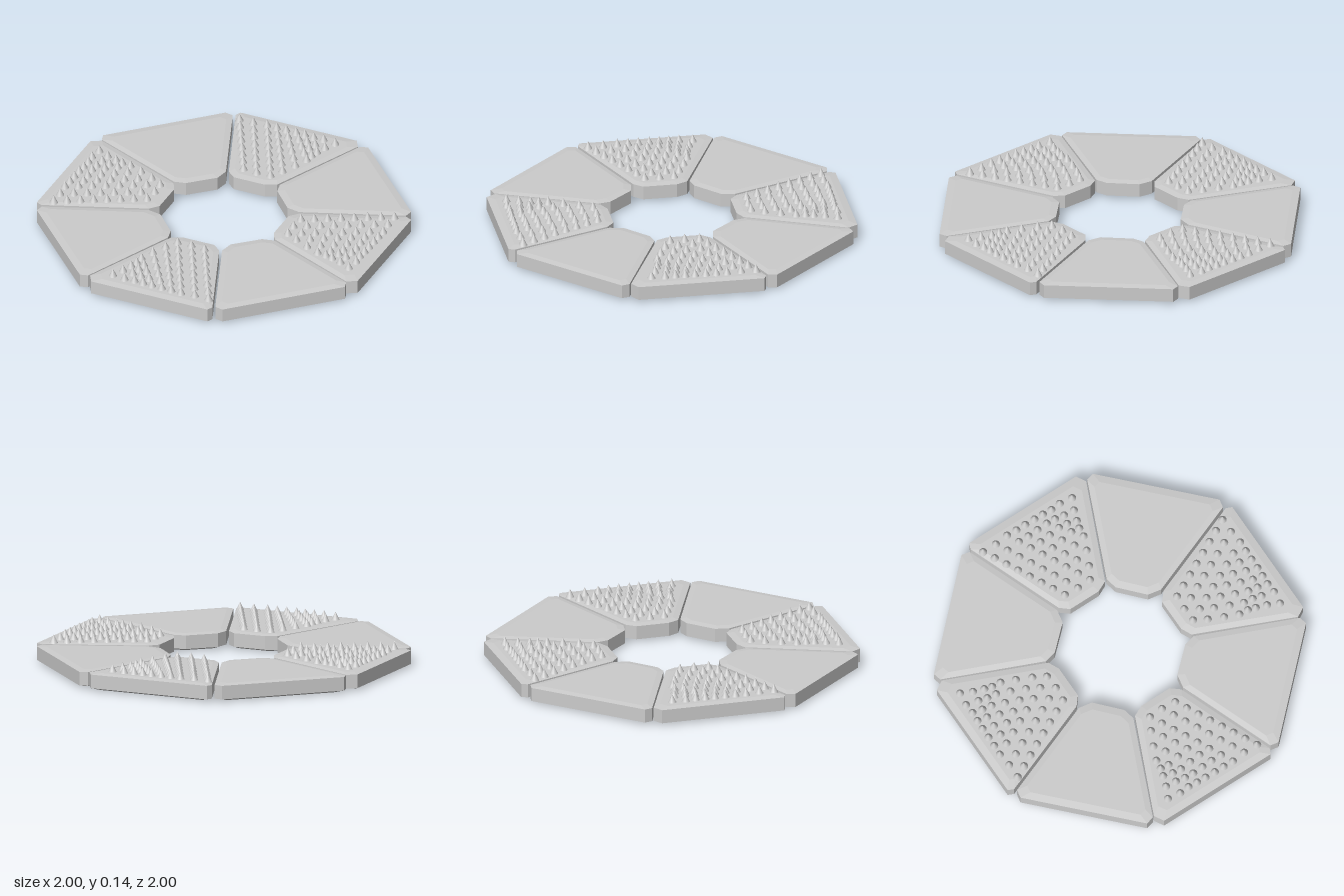
import * as THREE from 'three';

const material = new THREE.MeshStandardMaterial({ color: 0xcccccc, flatShading: true });
const smooth = new THREE.MeshStandardMaterial({ color: 0xcccccc });

// Tile outlines [x, z], clockwise seen from above, with clipped corners
const spikedOutline = [[0, -0.4], [0, -0.975], [0.025, -1], [0.66, -0.755],
  [0.67, -0.695], [0.265, -0.285], [0.2, -0.28], [0.03, -0.345]];
const plainOutline = [[0.28, -0.285], [0.68, -0.695], [0.725, -0.69], [0.995, -0.055],
  [0.97, -0.015], [0.4, -0.015], [0.335, -0.055], [0.27, -0.22]];

// Spike columns: start x, z, end x, z, count
const spikeColumns = [
  [0.025, -0.91, 0.078, -0.415, 8], [0.1, -0.88, 0.15, -0.38, 8],
  [0.175, -0.86, 0.225, -0.355, 8], [0.228, -0.837, 0.286, -0.404, 7],
  [0.28, -0.816, 0.35, -0.465, 6], [0.334, -0.794, 0.407, -0.525, 5],
  [0.382, -0.773, 0.43, -0.57, 4], [0.43, -0.751, 0.457, -0.605, 3],
  [0.484, -0.735, 0.497, -0.652, 2], [0.548, -0.7, 0.548, -0.7, 1]];

// Slab with a gently raised centre above and below: rings of [scale, y]
function slabGeometry(outline) {
  const n = outline.length;
  const cx = outline.reduce((s, p) => s + p[0], 0) / n;
  const cz = outline.reduce((s, p) => s + p[1], 0) / n;
  const rings = [[0, 0], [0.87, 0], [1, 0.014], [1, 0.088], [0.87, 0.093], [0, 0.093]];
  const at = (k, i) => {
    const [s, y] = rings[k], p = outline[i % n];
    return [cx + (p[0] - cx) * s, y, cz + (p[1] - cz) * s];
  };
  const pos = [];
  for (let k = 0; k < rings.length - 1; k++) {
    for (let i = 0; i < n; i++) {
      const a = at(k, i), b = at(k, i + 1), c = at(k + 1, i + 1), d = at(k + 1, i);
      if (rings[k + 1][0] > 0) pos.push(...a, ...d, ...c);
      if (rings[k][0] > 0) pos.push(...a, ...c, ...b);
    }
  }
  const g = new THREE.BufferGeometry();
  g.setAttribute('position', new THREE.Float32BufferAttribute(pos, 3));
  g.computeVertexNormals();
  return g;
}

export function createModel() {
  const model = new THREE.Group();
  model.name = 'tileRing';
  const spikedSlab = slabGeometry(spikedOutline);
  const plainSlab = slabGeometry(plainOutline);
  const cone = new THREE.ConeGeometry(0.025, 0.05, 16, 1, true);

  for (let q = 0; q < 4; q++) {
    const quarter = new THREE.Group();
    quarter.name = 'quarter' + (q + 1);
    quarter.rotation.y = -q * Math.PI / 2;

    const spikedTile = new THREE.Mesh(spikedSlab, material);
    spikedTile.name = 'spikedTile';
    const plainTile = new THREE.Mesh(plainSlab, material);
    plainTile.name = 'plainTile';

    // Spikes in shortening columns across the tile
    const spikes = new THREE.Group();
    spikes.name = 'spikes';
    for (const [x0, z0, x1, z1, count] of spikeColumns) {
      for (let i = 0; i < count; i++) {
        const t = count > 1 ? i / (count - 1) : 0;
        const spike = new THREE.Mesh(cone, smooth);
        spike.name = 'spike';
        spike.position.set(x0 + (x1 - x0) * t, 0.112, z0 + (z1 - z0) * t);
        spikes.add(spike);
      }
    }
    quarter.add(spikedTile, plainTile, spikes);
    model.add(quarter);
  }
  return model;
}
